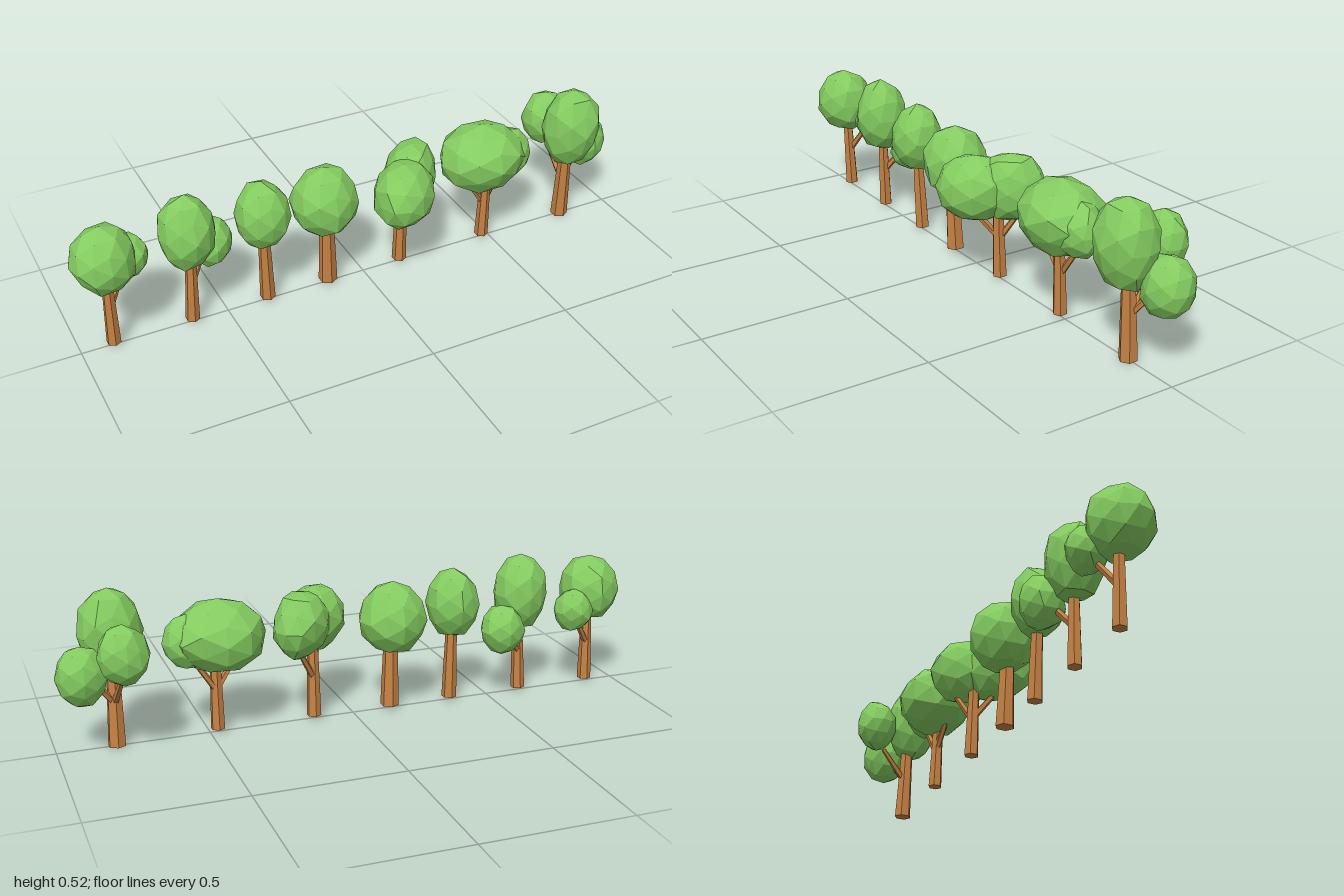
import * as THREE from 'three';

const leafMat = new THREE.MeshStandardMaterial({ color: 0x84cc60, flatShading: true });
const barkMat = new THREE.MeshStandardMaterial({ color: 0xc68244, flatShading: true });

// Repeatable value in 0..1 for a point, so shared corners move together
function hash(x, y, z, seed) {
  const s = Math.sin(Math.round(x * 100) * 12.9 + Math.round(y * 100) * 78.2 + Math.round(z * 100) * 37.7 + seed * 4.1) * 4375.85;
  return s - Math.floor(s);
}

// Faceted, slightly irregular leaf clump
function clump(x, y, z, rx, ry, rz, yaw, seed) {
  const geo = new THREE.IcosahedronGeometry(1, 1);
  const p = geo.attributes.position;
  const v = new THREE.Vector3();
  for (let i = 0; i < p.count; i++) {
    v.fromBufferAttribute(p, i);
    v.multiplyScalar(0.95 + 0.1 * hash(v.x, v.y, v.z, seed));
    p.setXYZ(i, v.x * rx, v.y * ry, v.z * rz);
  }
  geo.computeVertexNormals();
  const mesh = new THREE.Mesh(geo, leafMat);
  mesh.position.set(x, y, z);
  mesh.rotation.y = yaw;
  mesh.name = 'foliage';
  return mesh;
}

// Tapered limb between two points
function limb(name, from, to, r0, r1, sides) {
  const dir = to.clone().sub(from);
  const mesh = new THREE.Mesh(new THREE.CylinderGeometry(r1, r0, dir.length(), sides), barkMat);
  mesh.position.copy(from).add(to).multiplyScalar(0.5);
  mesh.quaternion.setFromUnitVectors(new THREE.Vector3(0, 1, 0), dir.normalize());
  mesh.name = name;
  return mesh;
}

// One tree: trunk foot, lean and radius, branch reaches [dx, dz], clumps [centre, radii]
function tree({ x, foot = 0.01, lean = 0, r = 0.024, yaw = 0, branches = [], clumps }, index) {
  const group = new THREE.Group();
  group.name = 'tree' + (index + 1);
  group.add(limb('trunk', new THREE.Vector3(x, foot, 0), new THREE.Vector3(x + lean, 0.28, 0.01), r, r * 0.72, 6));
  for (const [dx, dz] of branches) {
    const start = new THREE.Vector3(x + lean / 2, 0.145, 0.002);
    group.add(limb('branch', start, new THREE.Vector3(x + dx, 0.255, dz), 0.012, 0.009, 5));
  }
  clumps.forEach((c, j) => group.add(clump(...c, yaw, index * 3 + j + 1)));
  return group;
}

const roundTrees = [
  { x: -0.892, branches: [[0.07, -0.04]],
    clumps: [[-0.895, 0.345, 0.015, 0.105, 0.115, 0.105], [-0.805, 0.29, -0.045, 0.07, 0.076, 0.065]] },
  { x: -0.624, lean: 0.008, branches: [[0.08, -0.05]],
    clumps: [[-0.622, 0.36, 0.01, 0.095, 0.135, 0.092], [-0.527, 0.255, -0.055, 0.077, 0.088, 0.073]] },
  { x: -0.357, lean: -0.008, r: 0.026,
    clumps: [[-0.366, 0.347, 0.01, 0.091, 0.122, 0.09]] },
  { x: -0.134, lean: -0.006, r: 0.032,
    clumps: [[-0.14, 0.325, -0.006, 0.116, 0.123, 0.113]] },
];

const spreadingTrees = [
  { x: 0.14, r: 0.025, yaw: 0.86, branches: [[-0.045, 0.085], [0.06, -0.04]],
    clumps: [[0.112, 0.33, 0.078, 0.13, 0.116, 0.1], [0.184, 0.34, -0.01, 0.12, 0.116, 0.09]] },
  { x: 0.473, branches: [[-0.075, 0.015], [0.072, -0.01]],
    clumps: [[0.463, 0.333, -0.006, 0.155, 0.122, 0.136], [0.55, 0.325, 0, 0.098, 0.093, 0.08]] },
  { x: 0.807, foot: 0, lean: -0.004, r: 0.03, branches: [[0.08, -0.035], [-0.015, -0.09]],
    clumps: [[0.805, 0.375, 0.025, 0.105, 0.148, 0.095], [0.912, 0.265, -0.045, 0.083, 0.1, 0.08],
      [0.79, 0.345, -0.122, 0.085, 0.098, 0.074]] },
];

export function createModel() {
  const group = new THREE.Group();
  group.name = 'treeRow';
  group.add(...[...roundTrees, ...spreadingTrees].map(tree));
  return group;
}
